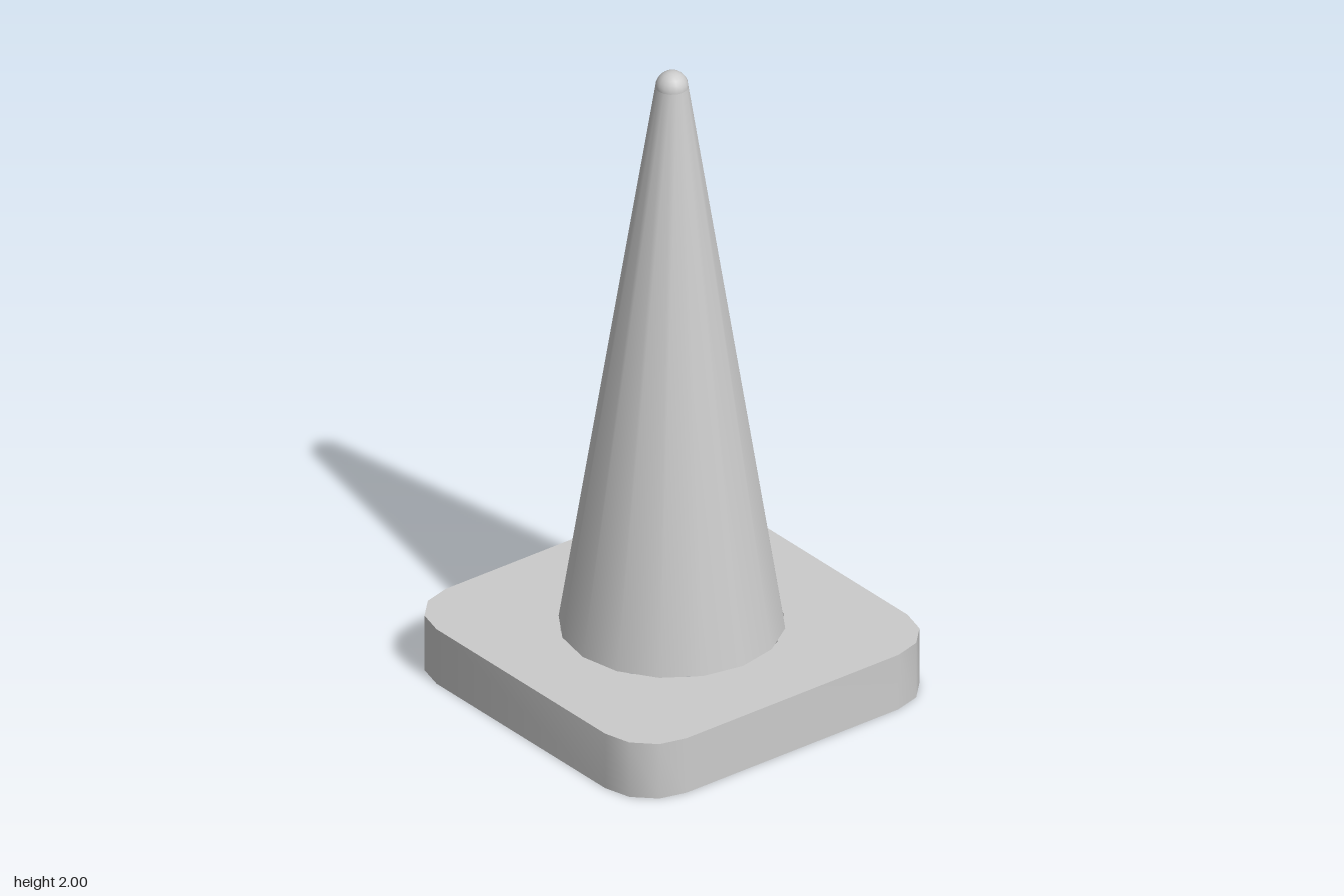
import * as THREE from 'three';
import { toCreasedNormals } from 'three/addons/utils/BufferGeometryUtils.js';

const grey = new THREE.MeshStandardMaterial({ color: 0xcccccc });

function addPart(group, name, geometry, y) {
  const mesh = new THREE.Mesh(geometry, grey);
  mesh.name = name;
  mesh.position.y = y;
  group.add(mesh);
}

// Rounded square slab with a round hole, three segments per quarter turn
function baseGeometry(half, corner, holeRadius, height) {
  const shape = new THREE.Shape();
  const hole = new THREE.Path();
  const c = half - corner;
  [[1, 1], [-1, 1], [-1, -1], [1, -1]].forEach(([sx, sy], quarter) => {
    for (let i = 0; i <= 3; i++) {
      const a = (quarter + i / 3) * Math.PI / 2;
      const x = sx * c + corner * Math.cos(a), y = sy * c + corner * Math.sin(a);
      if (quarter + i === 0) shape.moveTo(x, y);
      else shape.lineTo(x, y);
    }
  });
  shape.closePath();
  for (let i = 0; i < 12; i++) {
    const a = -i * Math.PI / 6;
    const x = holeRadius * Math.cos(a), y = holeRadius * Math.sin(a);
    if (i === 0) hole.moveTo(x, y);
    else hole.lineTo(x, y);
  }
  hole.closePath();
  shape.holes.push(hole);
  const geometry = new THREE.ExtrudeGeometry(shape, { depth: height, bevelEnabled: false });
  geometry.rotateX(-Math.PI / 2);
  return toCreasedNormals(geometry, 0.7);
}

export function createModel() {
  const group = new THREE.Group();
  group.name = 'trafficCone';
  const baseHeight = 0.18, tipRadius = 0.049, tipY = 2 - tipRadius;
  const coneHeight = tipY - baseHeight;

  addPart(group, 'base', baseGeometry(0.556, 0.167, 0.325, baseHeight), 0);

  // Tapered body, its floor closing the hole from above
  addPart(group, 'coneBody',
    new THREE.CylinderGeometry(tipRadius, 0.328, coneHeight, 16),
    baseHeight + coneHeight / 2);

  addPart(group, 'roundedTip', new THREE.SphereGeometry(tipRadius, 16, 12), tipY);
  return group;
}
